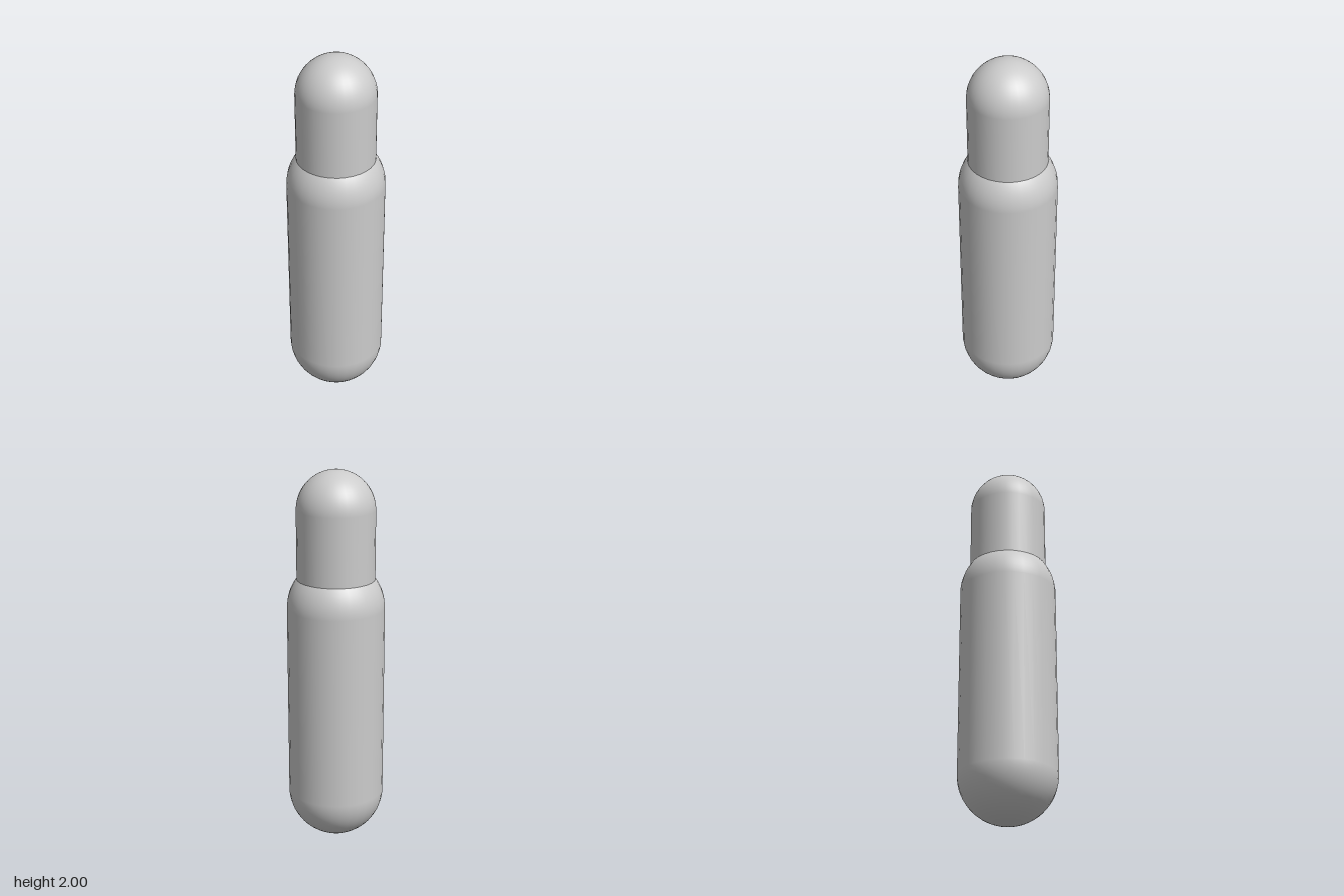
import * as THREE from 'three';

export function createModel() {
  const group = new THREE.Group();
  const material = new THREE.MeshStandardMaterial({ color: 0xcccccc });

  // Upright capsule whose lower dome is centred at height baseY
  function addCapsule(name, radius, length, baseY) {
    const mesh = new THREE.Mesh(new THREE.CapsuleGeometry(radius, length, 16, 32), material);
    mesh.name = name;
    mesh.position.y = baseY + length / 2;
    group.add(mesh);
  }

  const r = 0.2564;
  // Wide lower body
  addCapsule('body', r, 4 * r, r);
  // Narrower head, rising from the centre of the body's top dome
  addCapsule('head', 0.8 * r, 2 * r, 5 * r);

  return group;
}
